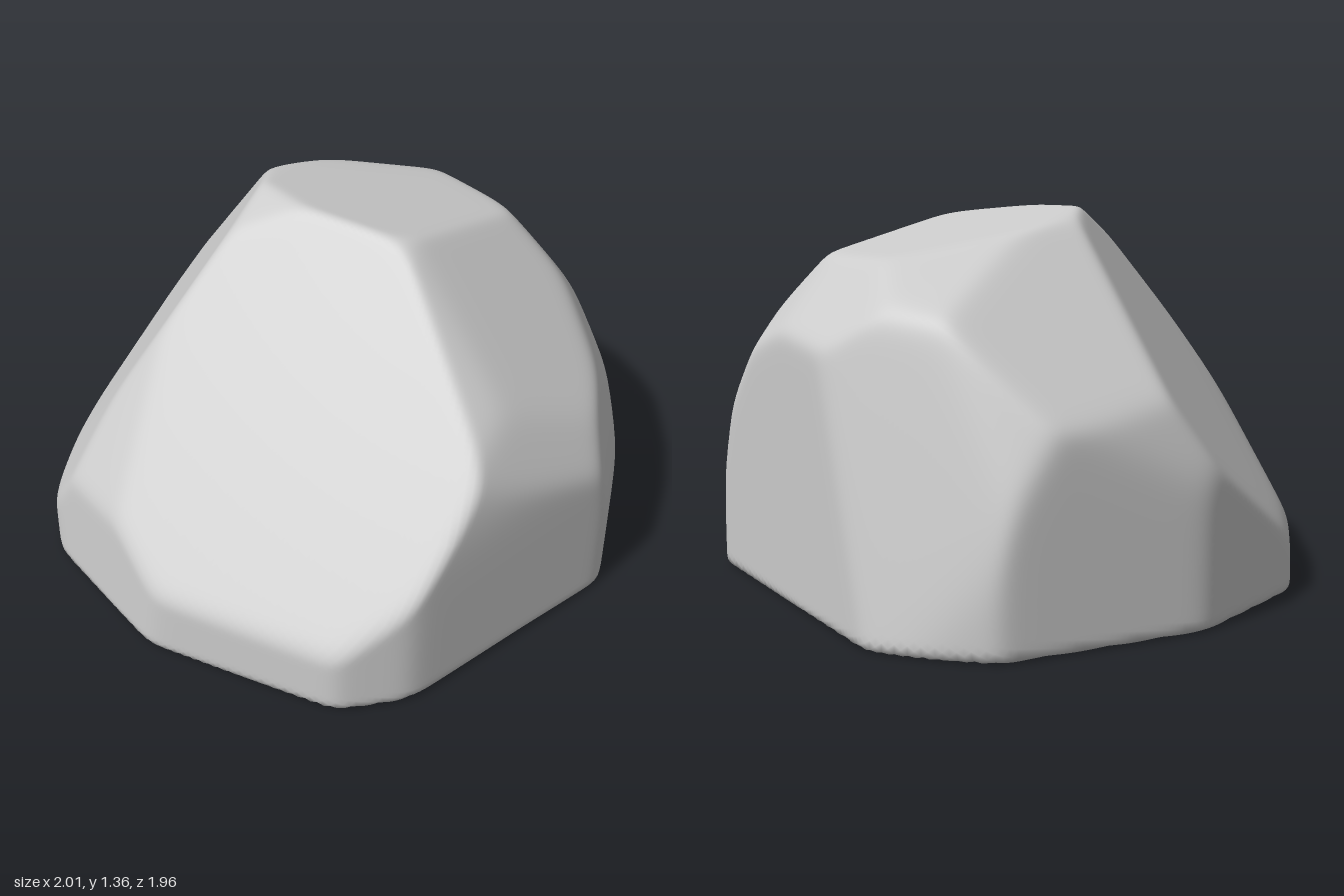
import * as THREE from 'three';
import { mergeVertices } from 'three/addons/utils/BufferGeometryUtils.js';

// Facets of the boulder: outward normal x, y, z and distance from the origin
const BASE = [[0, -1, 0, 0]];
const FRONT_SLOPES = [
  [-0.64, 0.553, 0.53, 0.965],
  [-0.572, 0.479, 0.671, 1.0],
  [-0.721, 0.292, 0.634, 1.035],
  [0, 0.564, 0.826, 1.02],
  [0.37, 0.62, 0.69, 0.92],
];
const CROWN = [
  [0, 0.977, -0.21, 1.316],
  [0, 0.87, 0.49, 1.242],
  [0.4, 0.9, 0.15, 1.325],
  [-0.4, 0.916, 0, 1.365],
  [-0.355, 0.86, -0.37, 1.352],
];
const SHOULDERS = [
  [-0.72, 0.68, -0.12, 1.19],
  [-0.95, 0.3, -0.05, 1.105],
  [0.63, 0.72, -0.28, 1.205],
  [0.66, 0.753, 0, 1.238],
  [0.85, 0.504, -0.173, 1.19],
  [0.98, 0.2, 0, 1.11],
];
const UPPER_BACK = [
  [0, 0.68, -0.73, 1.32],
  [0.286, 0.622, -0.73, 1.3],
  [0.569, 0.482, -0.672, 1.238],
  [0.748, 0.25, -0.623, 1.16],
  [-0.424, 0.612, -0.672, 1.348],
  [-0.695, 0.33, -0.645, 1.2],
  [-0.47, 0.194, -0.862, 1.09],
];
// Upright faces, going round from the front
const SIDES = [
  [0, 0.07, 1, 0.985],
  [0.453, 0, 0.89, 0.985],
  [0.89, 0, 0.447, 1.085],
  [1, 0, -0.02, 1],
  [0.79, 0, -0.616, 1.1],
  [0.108, 0, -0.994, 0.928],
  [-0.66, 0, -0.75, 1.115],
  [-0.98, 0, -0.2, 0.99],
  [-0.967, 0, 0.254, 0.98],
  [-0.73, 0, 0.683, 1.02],
  [-0.49, 0, 0.87, 1.05],
];
const FACETS = [...BASE, ...FRONT_SLOPES, ...CROWN, ...SHOULDERS, ...UPPER_BACK, ...SIDES];
const CENTRE = new THREE.Vector3(0, 0.6, 0);
const SHARPNESS = 80; // higher gives crisper edges between the facets

// Distance from the centre to the softly rounded intersection of all facets
function reach(dir) {
  let sum = 0;
  for (const [x, y, z, d] of FACETS) {
    const gap = d - (x * CENTRE.x + y * CENTRE.y + z * CENTRE.z);
    const k = (x * dir.x + y * dir.y + z * dir.z) / gap;
    if (k > 0) sum += Math.pow(k, SHARPNESS);
  }
  return Math.pow(sum, -1 / SHARPNESS);
}

function boulderGeometry() {
  let geo = new THREE.IcosahedronGeometry(1, 60);
  geo.deleteAttribute('uv');
  geo.deleteAttribute('normal');
  geo = mergeVertices(geo, 1e-5);

  // Push every point of the sphere out to the facets
  const pos = geo.attributes.position;
  const v = new THREE.Vector3();
  for (let i = 0; i < pos.count; i++) {
    v.fromBufferAttribute(pos, i).normalize();
    v.multiplyScalar(reach(v)).add(CENTRE);
    pos.setXYZ(i, v.x, v.y, v.z);
  }
  geo.computeVertexNormals();
  return geo;
}

export function createModel() {
  const group = new THREE.Group();
  group.name = 'rock';
  const boulder = new THREE.Mesh(
    boulderGeometry(),
    new THREE.MeshStandardMaterial({ color: 0xcccccc })
  );
  boulder.name = 'boulder';
  group.add(boulder);
  return group;
}
